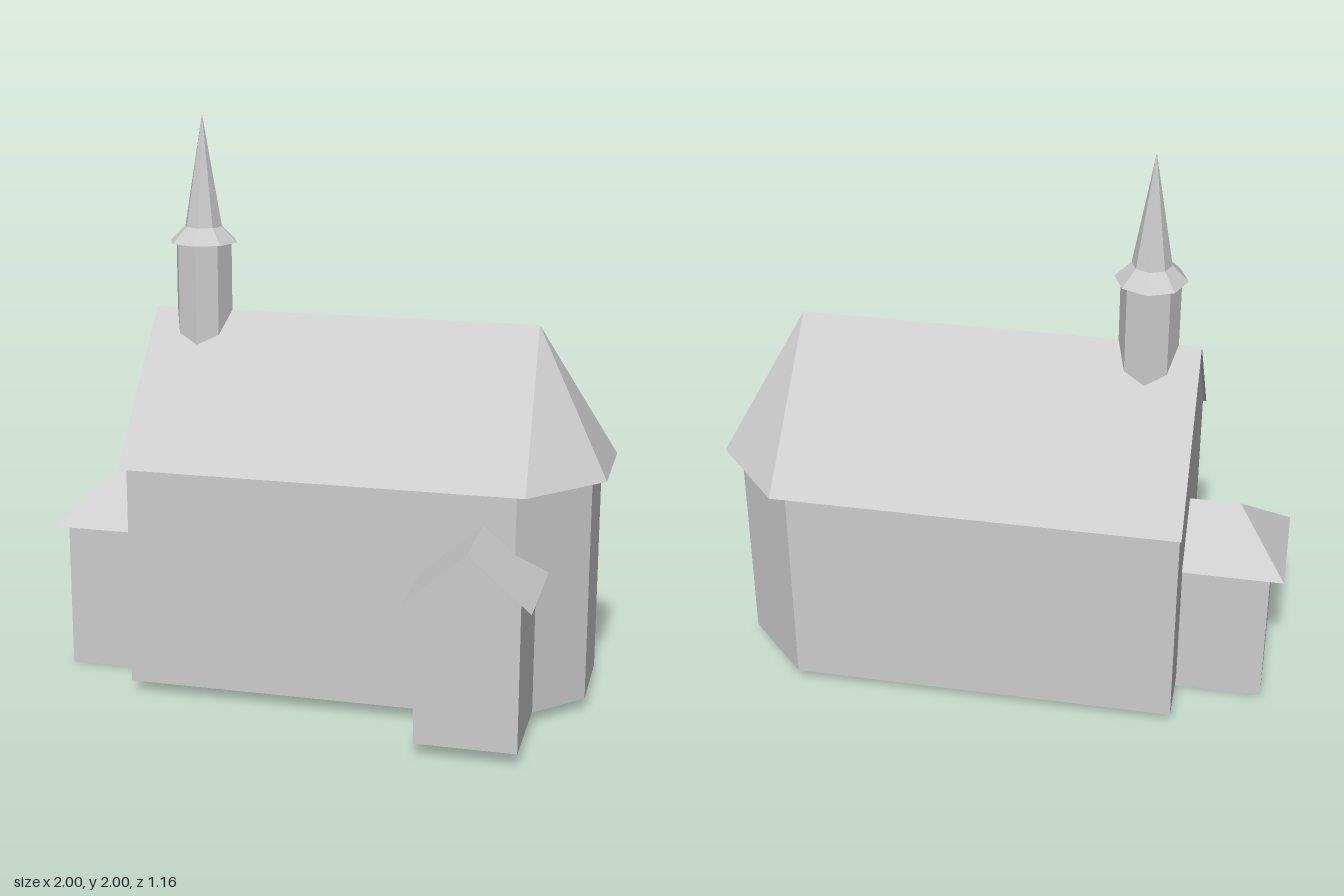
import * as THREE from 'three';

const stone = new THREE.MeshStandardMaterial({ color: 0xcccccc, flatShading: true, side: THREE.DoubleSide });
stone.name = 'paleGrey';

function mesh(name, geometry) {
  const m = new THREE.Mesh(geometry, stone);
  m.name = name;
  return m;
}

// Flat convex polygons, each given as a counter-clockwise list of points
function polygons(faces) {
  const pos = [];
  for (const f of faces)
    for (let i = 1; i < f.length - 1; i++) pos.push(...f[0], ...f[i], ...f[i + 1]);
  const g = new THREE.BufferGeometry();
  g.setAttribute('position', new THREE.Float32BufferAttribute(pos, 3));
  g.computeVertexNormals();
  return g;
}

// Mirrors a face across z = 0, keeping it facing outward
const mirrorZ = (face) => face.map(([x, y, z]) => [x, y, -z]).reverse();

// Upright walls from a plan of [x, z] points
function walls(plan, y0, y1) {
  const shape = new THREE.Shape(plan.map(([x, z]) => new THREE.Vector2(x, -z)));
  const g = new THREE.ExtrudeGeometry(shape, { depth: y1 - y0, bevelEnabled: false });
  return g.rotateX(-Math.PI / 2).translate(0, y0, 0);
}

export function createModel() {
  const church = new THREE.Group();
  church.name = 'church';

  // Nave with three-sided apse, and the gable above its flat end
  church.add(mesh('naveWalls', walls([
    [-0.629, 0.385], [0.72, 0.385], [0.942, 0.155],
    [0.942, -0.155], [0.72, -0.385], [-0.629, -0.385],
  ], 0.04, 0.87)));
  church.add(mesh('naveGable', polygons([[
    [-0.629, 0.87, -0.385], [-0.629, 0.87, 0.385], [-0.629, 0.893, 0.385],
    [-0.629, 1.314, 0], [-0.629, 0.893, -0.385],
  ]])));

  // Steep nave roof, folding round the apse
  const ridgeA = [-0.638, 1.315, 0], ridgeB = [0.73, 1.315, 0];
  const slope = [[-0.638, 0.832, 0.442], [0.756, 0.832, 0.442], ridgeB, ridgeA];
  const hip = [[0.756, 0.832, 0.442], [0.992, 0.832, 0.18], ridgeB];
  const endHip = [[0.992, 0.832, 0.18], [0.992, 0.832, -0.18], ridgeB];
  church.add(mesh('naveRoof', polygons([slope, mirrorZ(slope), hip, mirrorZ(hip), endHip])));

  // End porch with hipped roof
  church.add(mesh('porchWalls', walls([
    [-0.932, 0.178], [-0.615, 0.178], [-0.615, -0.178], [-0.932, -0.178],
  ], 0, 0.535)));
  const porchTop = [-0.806, 0.702, 0];
  const porchSlope = [[-0.98, 0.525, 0.198], [-0.625, 0.525, 0.198], [-0.625, 0.702, 0], porchTop];
  church.add(mesh('porchRoof', polygons([
    porchSlope, mirrorZ(porchSlope),
    [[-0.98, 0.525, -0.198], [-0.98, 0.525, 0.198], porchTop],
  ])));

  // Side chapel: gabled front extruded back into the nave
  const gable = new THREE.Shape([
    [-0.171, 0.045], [0.171, 0.045], [0.171, 0.563], [0, 0.712], [-0.171, 0.563],
  ].map(([x, y]) => new THREE.Vector2(x, y)));
  const chapel = new THREE.Group();
  chapel.name = 'sideChapel';
  chapel.position.x = 0.612;
  chapel.add(mesh('chapelWalls',
    new THREE.ExtrudeGeometry(gable, { depth: 0.45, bevelEnabled: false }).translate(0, 0, 0.22)));
  chapel.add(mesh('chapelRoof', polygons([
    [[-0.208, 0.533, 0.2], [-0.208, 0.533, 0.694], [0, 0.715, 0.694], [0, 0.715, 0.2]],
    [[0.208, 0.533, 0.694], [0.208, 0.533, 0.2], [0, 0.715, 0.2], [0, 0.715, 0.694]],
  ])));
  church.add(chapel);

  // Octagonal ridge turret with flared skirt and needle spire
  const turret = new THREE.Group();
  turret.name = 'turret';
  turret.position.x = -0.46;
  const tiers = [
    ['turretShaft', 0.101, 0.101, 1.15, 1.57],
    ['spireSkirt', 0.067, 0.122, 1.555, 1.61],
    ['spire', 0, 0.067, 1.61, 2],
  ];
  for (const [name, top, bottom, y0, y1] of tiers) {
    const g = new THREE.CylinderGeometry(top, bottom, y1 - y0, 8, 1, true);
    turret.add(mesh(name, g.translate(0, (y0 + y1) / 2, 0)));
  }
  church.add(turret);

  // The whole building stands slightly turned
  church.rotation.y = 0.097;
  church.position.set(-0.007, 0, -0.07);
  const model = new THREE.Group();
  model.add(church);
  return model;
}
